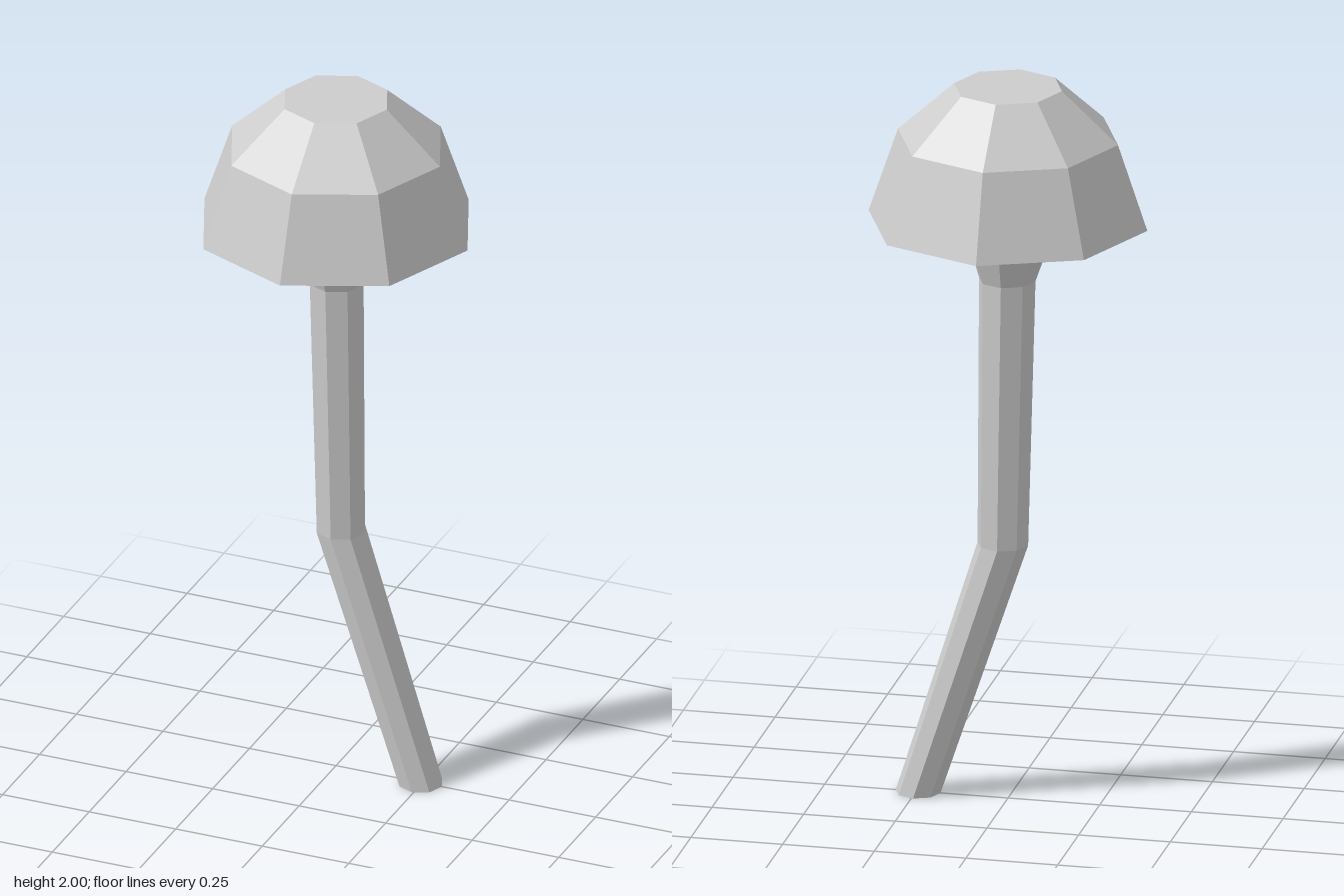
import * as THREE from 'three';

const SIDES = 8;

// Faceted ring surface through [radius, y, xOffset] rows, listed bottom to top
function facetedLathe(rows) {
  const profile = rows.map(([r, y]) => new THREE.Vector2(r, y));
  const geometry = new THREE.LatheGeometry(profile, SIDES);
  const pos = geometry.attributes.position;
  for (let i = 0; i < pos.count; i++) {
    pos.setX(i, pos.getX(i) + (rows[i % rows.length][2] ?? 0));
  }
  const flat = geometry.toNonIndexed();
  flat.computeVertexNormals();
  return flat;
}

export function createModel() {
  const grey = new THREE.MeshStandardMaterial({
    color: 0xcccccc, flatShading: true, side: THREE.DoubleSide,
  });
  grey.name = 'light grey';

  const model = new THREE.Group();
  model.name = 'mushroom';

  // Bent stem, open at the foot and flared under the cap
  const stem = new THREE.Mesh(facetedLathe([
    [0.061, 0, 0.245],
    [0.069, 0.715, 0.014],
    [0.077, 1.46, 0.002],
    [0.117, 1.58, 0],
  ]), grey);
  stem.name = 'stem';

  // Cap: shallow underside, two sloping bands and a flat top
  const cap = new THREE.Mesh(facetedLathe([
    [0.117, 1.577],
    [0.38, 1.625],
    [0.3, 1.86],
    [0.147, 2],
    [0, 2],
  ]), grey);
  cap.name = 'cap';

  model.add(stem, cap);
  return model;
}
